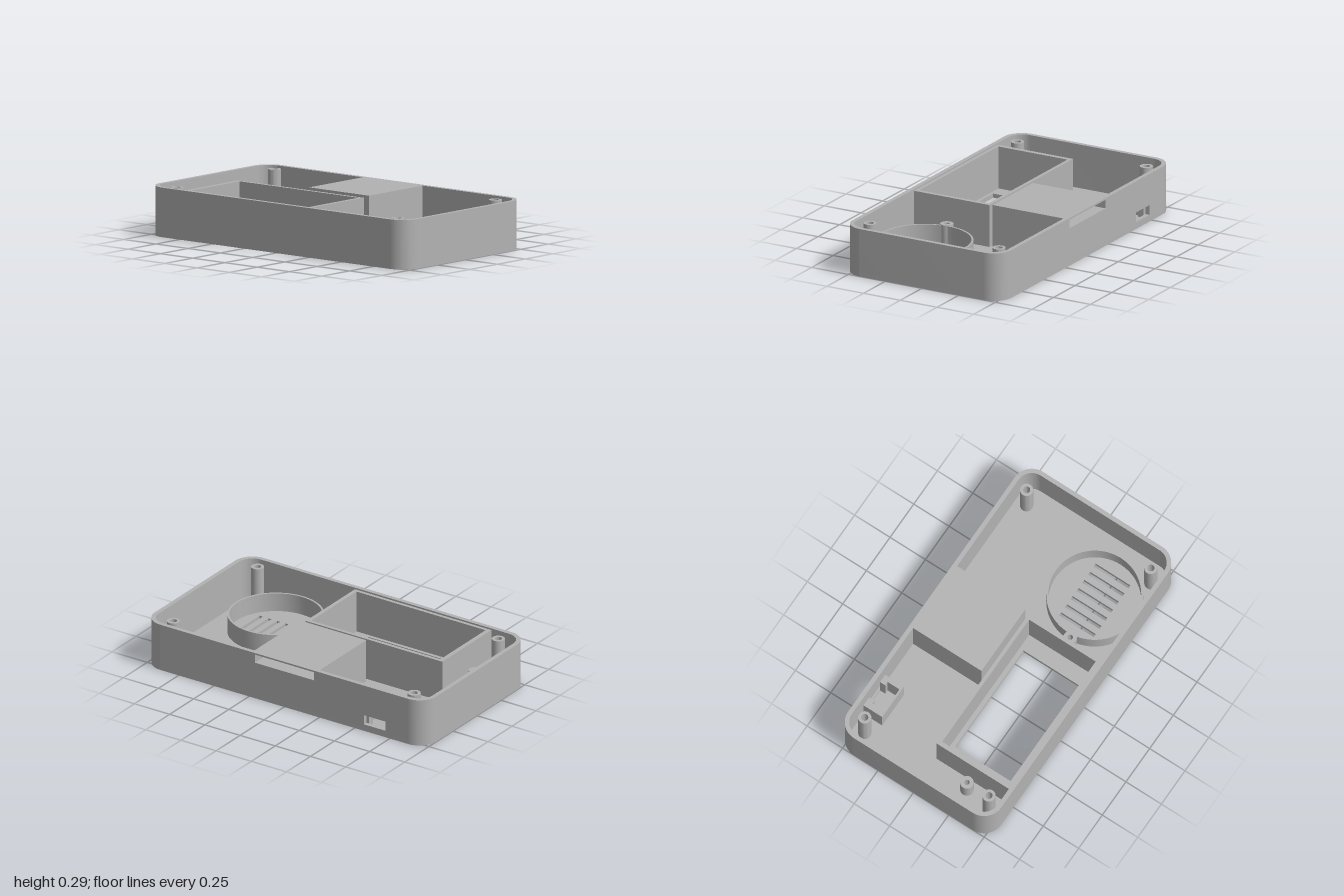
import * as THREE from 'three';
import { toCreasedNormals } from 'three/addons/utils/BufferGeometryUtils.js';

const W = 1, D = 0.54, H = 0.295;      // half width, half depth, height
const WALL = 0.027, FLOOR = 0.025, R = 0.12;

export function createModel() {
  const group = new THREE.Group();
  const grey = new THREE.MeshStandardMaterial({ color: 0xb2b2b2 });
  grey.name = 'casing grey';

  const add = (name, geometry) => {
    const mesh = new THREE.Mesh(toCreasedNormals(geometry, 0.6), grey);
    mesh.name = name;
    group.add(mesh);
    return mesh;
  };
  const poly = (pts, Type = THREE.Shape) => new Type(pts.map(([x, y]) => new THREE.Vector2(x, y)));
  const rect = (x0, x1, y0, y1, Type) => poly([[x0, y0], [x1, y0], [x1, y1], [x0, y1]], Type);
  const circle = (x, y, r) => new THREE.Path().absarc(x, y, r, 0, Math.PI * 2, true);
  const extrude = (shape, depth) =>
    new THREE.ExtrudeGeometry(shape, { depth, bevelEnabled: false, curveSegments: 16 });
  // Plan shape (x, z) raised from y0 to y1
  const slab = (name, shape, y0, y1) =>
    add(name, extrude(shape, y1 - y0).rotateX(Math.PI / 2).translate(0, y1, 0));
  const box = (name, x0, x1, y0, y1, z0, z1) =>
    add(name, new THREE.BoxGeometry(x1 - x0, y1 - y0, z1 - z0)
      .translate((x0 + x1) / 2, (y0 + y1) / 2, (z0 + z1) / 2));
  const lathe = (name, pts, x, z, segments = 32) =>
    add(name, new THREE.LatheGeometry(pts.map(([r, y]) => new THREE.Vector2(r, y)), segments)
      .translate(x, 0, z));

  const screws = [[-0.855, -0.44], [0.855, -0.44], [-0.855, 0.437], [0.855, 0.437]];

  // Floor with window, speaker grille and screw holes
  const floor = new THREE.Shape();
  floor.absarc(W - R, D - R, R, 0, Math.PI / 2);
  floor.absarc(R - W, D - R, R, Math.PI / 2, Math.PI);
  floor.absarc(R - W, R - D, R, Math.PI, Math.PI * 1.5);
  floor.absarc(W - R, R - D, R, Math.PI * 1.5, Math.PI * 2);
  floor.holes.push(rect(-0.63, 0.09, 0.05, 0.47, THREE.Path));
  for (let i = 0; i < 7; i++) {
    const x = 0.4 + i * 0.061;
    floor.holes.push(rect(x - 0.011, x + 0.011, 0.1, 0.345, THREE.Path));
  }
  for (const [x, z] of screws) floor.holes.push(circle(x, z, 0.031));
  slab('floor', floor, 0, FLOOR);

  // Front and side walls, one rounded band open at the back
  const r = R - WALL, band = new THREE.Shape();
  band.moveTo(W - R, -D);
  band.absarc(W - R, R - D, R, -Math.PI / 2, 0);
  band.absarc(W - R, D - R, R, 0, Math.PI / 2);
  band.absarc(R - W, D - R, R, Math.PI / 2, Math.PI);
  band.absarc(R - W, R - D, R, Math.PI, Math.PI * 1.5);
  band.absarc(R - W, R - D, r, Math.PI * 1.5, Math.PI, true);
  band.absarc(R - W, D - R, r, Math.PI, Math.PI / 2, true);
  band.absarc(W - R, D - R, r, Math.PI / 2, 0, true);
  band.absarc(W - R, R - D, r, 0, -Math.PI / 2, true);
  slab('outerWall', band, FLOOR, H);

  // Back wall with card slot and connector opening
  const back = rect(R - W, W - R, FLOOR, H);
  back.holes.push(rect(-0.213, 0.208, 0.232, 0.285, THREE.Path));
  back.holes.push(rect(-0.72, -0.567, 0.042, 0.102, THREE.Path));
  add('backWall', extrude(back, WALL).translate(0, 0, -D));

  // Raised compartment behind the card slot
  const zb = WALL - D;
  box('compartmentBase', -0.235, 0.23, FLOOR, 0.232, zb, -0.03);
  box('compartmentRoof', -0.235, 0.23, 0.285, H, zb, -0.03);
  box('compartmentSideRight', -0.235, -0.213, 0.232, 0.285, zb, -0.03);
  box('compartmentSideLeft', 0.208, 0.23, 0.232, 0.285, zb, -0.03);
  box('compartmentFront', -0.213, 0.208, 0.232, 0.285, -0.052, -0.03);

  // Tall frame around the window
  const frame = rect(-0.755, 0.215, 0, 0.517);
  frame.holes.push(rect(-0.727, 0.19, 0.022, 0.492, THREE.Path));
  slab('windowFrame', frame, FLOOR, 0.285);

  // Connector bracket, open toward the back wall
  slab('connectorBracket', poly([
    [-0.76, zb], [-0.70, zb], [-0.70, -0.475], [-0.72, -0.475], [-0.72, -0.392], [-0.56, -0.392],
    [-0.56, -0.475], [-0.585, -0.475], [-0.585, zb], [-0.53, zb], [-0.53, -0.38], [-0.76, -0.38],
  ]), FLOOR, 0.168);

  // Speaker ring
  lathe('speakerRing', [[0.285, FLOOR], [0.285, 0.14], [0.273, 0.14], [0.273, FLOOR]], 0.58, 0.225, 64);

  // Corner screw posts with counterbores
  for (const [x, z] of screws) {
    lathe('screwPost', [[0.039, FLOOR], [0.039, 0.288], [0.021, 0.288], [0.021, 0.08],
      [0.031, 0.08], [0.031, FLOOR]], x, z);
  }

  // Short mounting posts beside the window
  for (const x of [-0.815, 0.275]) {
    lathe('mountingPost', [[0.04, FLOOR], [0.04, 0.145], [0.016, 0.145], [0.016, 0.05], [0, 0.05]], x, 0.255);
  }
  return group;
}
